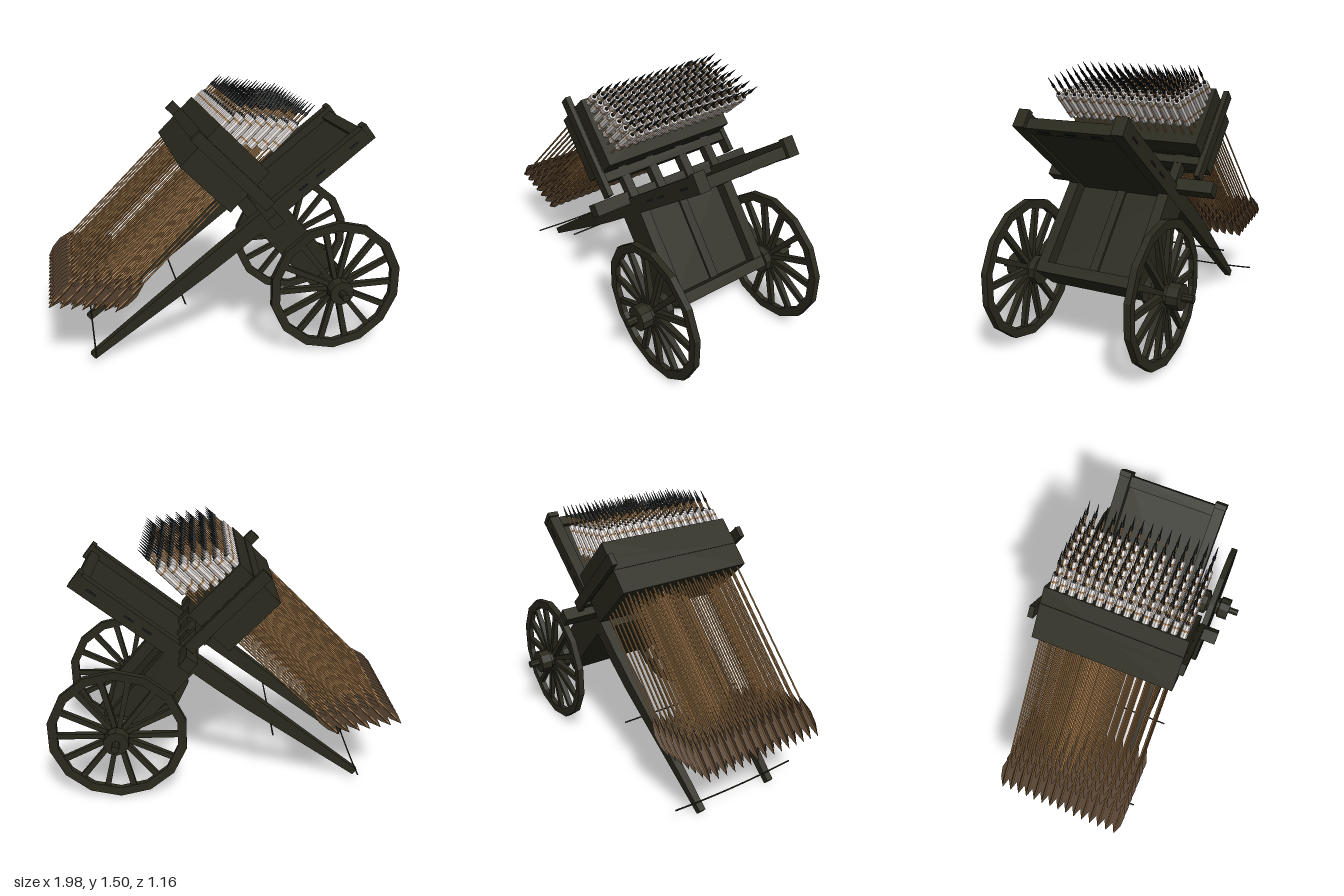
import * as THREE from 'three';
import { mergeGeometries } from 'three/addons/utils/BufferGeometryUtils.js';

const flat = (name, color, side = THREE.FrontSide) => {
  const m = new THREE.MeshStandardMaterial({ color, side, flatShading: true });
  m.name = name;
  return m;
};

export function createModel() {
  const wood = flat('darkWood', 0x29291d);
  const cane = flat('caneShaft', 0xb08350);
  const feather = flat('feather', 0x53402f, THREE.DoubleSide);
  const paper = flat('paperTube', 0xded8d4);
  const iron = flat('blackIron', 0x16191a);

  const model = new THREE.Group();
  model.name = 'arrowCart';
  const add = (parent, name, geo, mat, x = 0, y = 0, z = 0) => {
    const m = new THREE.Mesh(geo, mat);
    m.name = name;
    m.position.set(x, y, z);
    parent.add(m);
    return m;
  };
  const box = (parent, name, w, h, d, x, y, z, mat = wood) =>
    add(parent, name, new THREE.BoxGeometry(w, h, d), mat, x, y, z);
  const group = (name, x, y, angle) => {
    const g = new THREE.Group();
    g.name = name;
    g.position.set(x, y, 0);
    g.rotation.z = angle;
    model.add(g);
    return g;
  };

  // Tilted chassis: local x runs along the shafts, local -y down to the axle
  const chassis = group('chassis', 0.27, 0.84, THREE.MathUtils.degToRad(38.3));
  for (const s of [-1, 1]) {
    // Long shafts, slimmer and closer together toward the handles
    const geo = new THREE.BoxGeometry(2.01, 1, 1, 10, 1, 1);
    const p = geo.attributes.position;
    for (let i = 0; i < p.count; i++) {
      const u = p.getX(i) - 0.325;
      const t = THREE.MathUtils.clamp((u + 1.33) / 0.9, 0, 1);
      const thick = 0.04 + 0.053 * t;
      const width = 0.038 + 0.024 * t;
      p.setXYZ(i, u, p.getY(i) * thick, s * (0.238 + 0.042 * t) + p.getZ(i) * width);
    }
    geo.computeVertexNormals();
    add(chassis, 'shaft', geo, wood);
    box(chassis, 'shaftEnd', 0.03, 0.1, 0.066, 0.665, 0.005, s * 0.28);
    for (const u of [0.2, 0.32, 0.56]) {
      box(chassis, 'shaftSlot', 0.06, 0.012, 0.004, u, 0, s * 0.312, iron);
    }
  }
  box(chassis, 'deck', 0.76, 0.03, 0.51, 0.26, -0.02, 0);
  box(chassis, 'deckCrosspiece', 0.06, 0.06, 0.52, 0.63, -0.01, 0);
  for (const z of [-0.15, 0, 0.15]) {
    box(chassis, 'deckSlot', 0.015, 0.004, 0.065, 0.63, -0.041, z, iron);
  }
  box(chassis, 'crossBeam', 0.07, 0.07, 1.03, -0.04, 0.05, 0);

  // Body carrying the axle, with stiles around deeply recessed front panels
  const slab = (name, z0, z1, inset, top = 0, bottom = -0.58) => {
    const front = (v) => 0.055 - v * 0.04 - inset;
    const back = (v) => -0.15 - v * 0.06;
    const shape = new THREE.Shape([
      new THREE.Vector2(back(bottom), bottom), new THREE.Vector2(front(bottom), bottom),
      new THREE.Vector2(front(top), top), new THREE.Vector2(back(top), top),
    ]);
    const geo = new THREE.ExtrudeGeometry(shape, { depth: z1 - z0, bevelEnabled: false });
    add(chassis, name, geo, wood, 0, 0, z0);
  };
  slab('bodyPanel', -0.3, 0.3, 0.07);
  slab('bodyStile', -0.31, -0.25, 0);
  slab('bodyStile', 0.25, 0.31, 0);
  slab('bodyCentreStile', -0.025, 0.025, 0.055);
  slab('bodyBottomRail', -0.305, 0.305, -0.004, -0.53, -0.59);

  // Handle rods across the shafts
  const rod = (name, x, y, sag) => {
    const curve = new THREE.QuadraticBezierCurve3(
      new THREE.Vector3(x, y, -0.4), new THREE.Vector3(x, y - sag, 0), new THREE.Vector3(x, y, 0.4));
    add(model, name, new THREE.TubeGeometry(curve, 8, 0.0045, 6), wood);
  };
  rod('frontRod', -0.76, 0.085, 0.03);
  rod('middleRod', -0.26, 0.36, 0);

  // Axle and wheels
  const ax = 0.605, ay = 0.395, R = 0.39, SPOKES = 14;
  const axle = new THREE.CylinderGeometry(0.022, 0.022, 1.16, 8).rotateX(Math.PI / 2);
  add(model, 'axle', axle, wood, ax, ay, 0);
  for (const s of [-1, 1]) {
    const wheel = new THREE.Group();
    wheel.name = s > 0 ? 'leftWheel' : 'rightWheel';
    wheel.position.set(ax, ay, s * 0.415);
    model.add(wheel);
    const ring = [[0.34, -0.015], [R, -0.018], [R, 0.018], [0.34, 0.015], [0.34, -0.015]]
      .map(([r, h]) => new THREE.Vector2(r, h));
    add(wheel, 'rim', new THREE.LatheGeometry(ring, SPOKES).rotateX(Math.PI / 2), wood);
    // Spokes keep their width but thin toward the rim
    const spokes = [];
    for (let i = 0; i < SPOKES; i++) {
      const g = new THREE.BoxGeometry(0.034, 0.31, 0.04);
      const p = g.attributes.position;
      for (let k = 0; k < p.count; k++) {
        if (p.getY(k) > 0) p.setZ(k, p.getZ(k) * 0.55);
        else p.setX(k, p.getX(k) * 0.75);
      }
      spokes.push(g.translate(0, 0.195, 0).rotateZ((i + 0.5) / SPOKES * Math.PI * 2));
    }
    add(wheel, 'spokes', mergeGeometries(spokes), wood);
    const hub = [[0, -0.085], [0.08, -0.085], [0.08, -0.045], [0.055, -0.035], [0.055, 0.035],
      [0.07, 0.04], [0.07, 0.105], [0, 0.105]]
      .map(([r, h]) => new THREE.Vector2(r, h));
    add(wheel, 'hub', new THREE.LatheGeometry(hub, 10).rotateX(s * Math.PI / 2), wood);
  }

  // Arrow rack: local x follows the arrows
  const rack = group('arrowRack', -0.04, 1.12, Math.PI / 4);
  box(rack, 'rackBox', 0.3, 0.38, 0.8, 0, 0, 0);
  box(rack, 'rackStrap', 0.07, 0.388, 0.81, 0.02, 0, 0);
  box(rack, 'rackSill', 0.07, 0.05, 0.84, 0.01, -0.225, 0);
  for (const s of [-1, 1]) {
    box(rack, 'sidePlank', 0.065, 0.58, 0.03, 0.02, -0.035, s * 0.415);
    for (const z of [0.1, 0.28]) box(rack, 'rackPost', 0.055, 0.22, 0.05, 0.015, -0.29, s * z);
  }

  // One arrow along +y with its tip at the origin
  const cyl = (r0, r1, y0, y1, n, open = false) =>
    new THREE.CylinderGeometry(r1, r0, y1 - y0, n, 1, open).translate(0, (y0 + y1) / 2, 0);
  const LEN = 1.55;
  const leaf = () => new THREE.ShapeGeometry(new THREE.Shape([
    [0, -LEN], [0.025, -LEN + 0.07], [0.03, -LEN + 0.14], [0, -LEN + 0.25],
    [-0.03, -LEN + 0.14], [-0.025, -LEN + 0.07],
  ].map(([x, y]) => new THREE.Vector2(x, y))));
  const arrow = {
    arrowShafts: [cane, cyl(0.0052, 0.0052, -LEN + 0.02, -0.07, 6, true)],
    arrowFeathers: [feather, mergeGeometries([leaf(), leaf().rotateY(Math.PI / 2)])],
    rocketTubes: [paper, cyl(0.019, 0.019, -0.33, -0.14, 8)],
    rocketBindings: [cane, mergeGeometries([
      cyl(0.0205, 0.0205, -0.29, -0.28, 8), cyl(0.0205, 0.0205, -0.18, -0.17, 8)])],
    arrowHeads: [iron, mergeGeometries([
      cyl(0.01, 0.007, -0.14, -0.125, 6), cyl(0.008, 0.008, -0.08, -0.058, 6),
      cyl(0.006, 0.001, -0.058, 0, 5)])],
  };

  // Seven rows of fifteen arrows
  const arrows = new THREE.Group();
  arrows.name = 'arrows';
  model.add(arrows);
  for (const [name, [mat, geo]] of Object.entries(arrow)) {
    const copies = [];
    for (let row = 0; row < 7; row++) {
      for (let col = -7; col <= 7; col++) {
        copies.push(geo.clone().rotateZ(-Math.PI / 4)
          .translate(0.1 + 0.0585 * row, 1.495 - 0.0105 * row, col * 0.0513));
      }
    }
    add(arrows, name, mergeGeometries(copies), mat);
  }
  return model;
}
